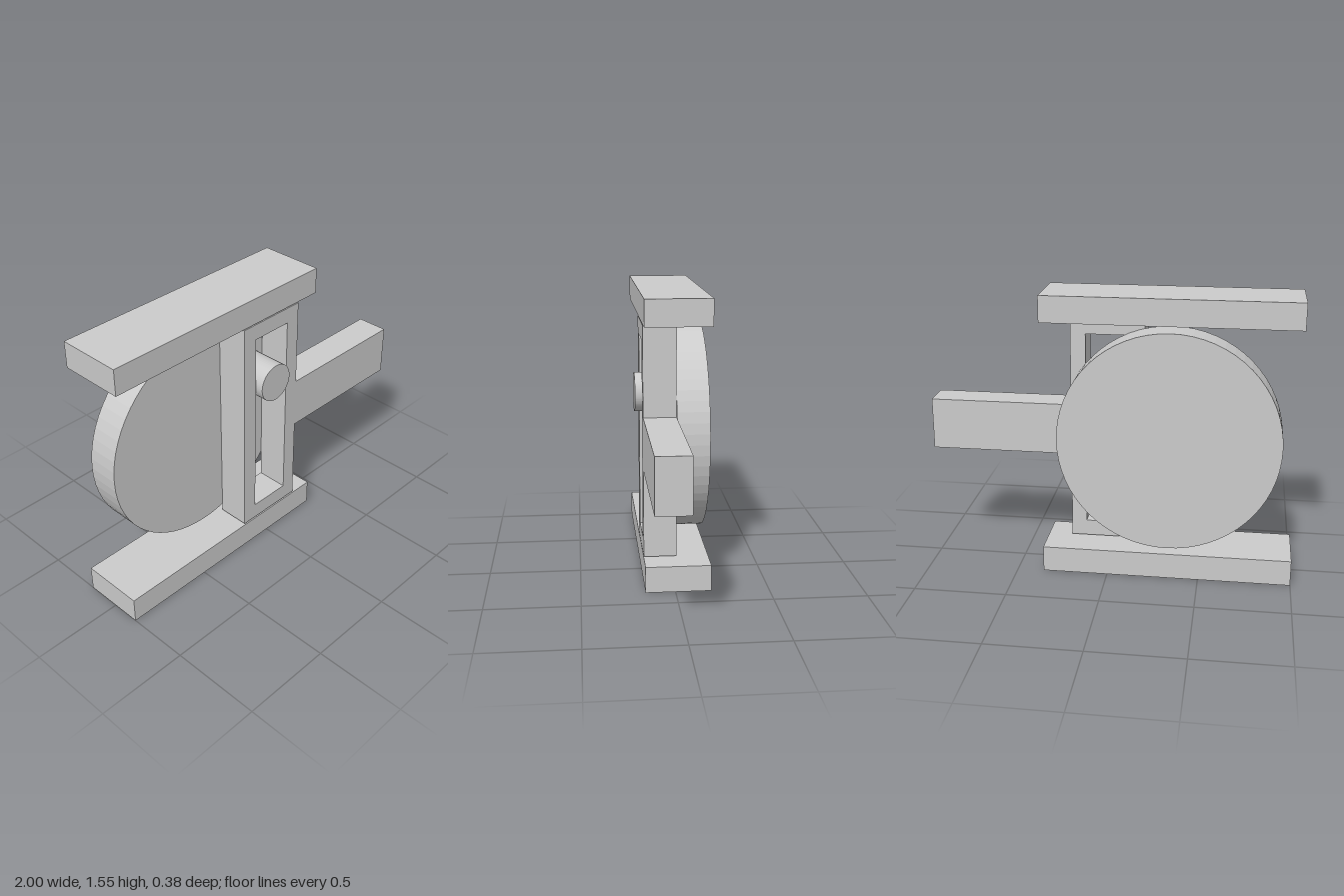
import * as THREE from 'three';

const material = new THREE.MeshStandardMaterial({ color: 0xcccccc, flatShading: true });

function add(group, name, geometry, x = 0, y = 0, z = 0) {
  const mesh = new THREE.Mesh(geometry, material);
  mesh.name = name;
  mesh.position.set(x, y, z);
  group.add(mesh);
}

// Cylinder lying along z, spanning from the back to the front depth
function disc(radius, back, front) {
  return new THREE.CylinderGeometry(radius, radius, front - back, 64)
    .rotateX(Math.PI / 2)
    .translate(0, 0, (back + front) / 2);
}

const points = (list) => list.map(([x, y]) => new THREE.Vector2(x, y));

export function createModel() {
  const group = new THREE.Group();
  group.name = 'slottedYokeMechanism';

  // Upper and lower guide rails
  const rail = new THREE.BoxGeometry(1.355, 0.142, 0.35);
  add(group, 'lowerRail', rail, -0.3225, 0.071, -0.016);
  add(group, 'upperRail', rail, -0.3225, 1.479, -0.016);

  // Crank wheel with its drive pin reaching through the slot
  add(group, 'crankWheel', disc(0.597, -0.191, -0.017), -0.325, 0.776);
  add(group, 'crankPin', disc(0.105, -0.017, 0.194), 0.02, 1.019);

  // Sliding yoke: slotted frame and push rod in one piece
  const yoke = new THREE.Shape(points([
    [-0.18, 0.152], [0.22, 0.152], [0.22, 0.635], [1, 0.635],
    [1, 0.918], [0.22, 0.918], [0.22, 1.402], [-0.18, 1.402],
  ]));
  yoke.holes.push(new THREE.Path(points([
    [-0.096, 0.24], [-0.096, 1.315], [0.138, 1.315], [0.138, 0.24],
  ])));
  const yokeGeometry = new THREE.ExtrudeGeometry(yoke, { depth: 0.176, bevelEnabled: false });
  add(group, 'slottedYoke', yokeGeometry, 0, 0, -0.017);

  return group;
}
